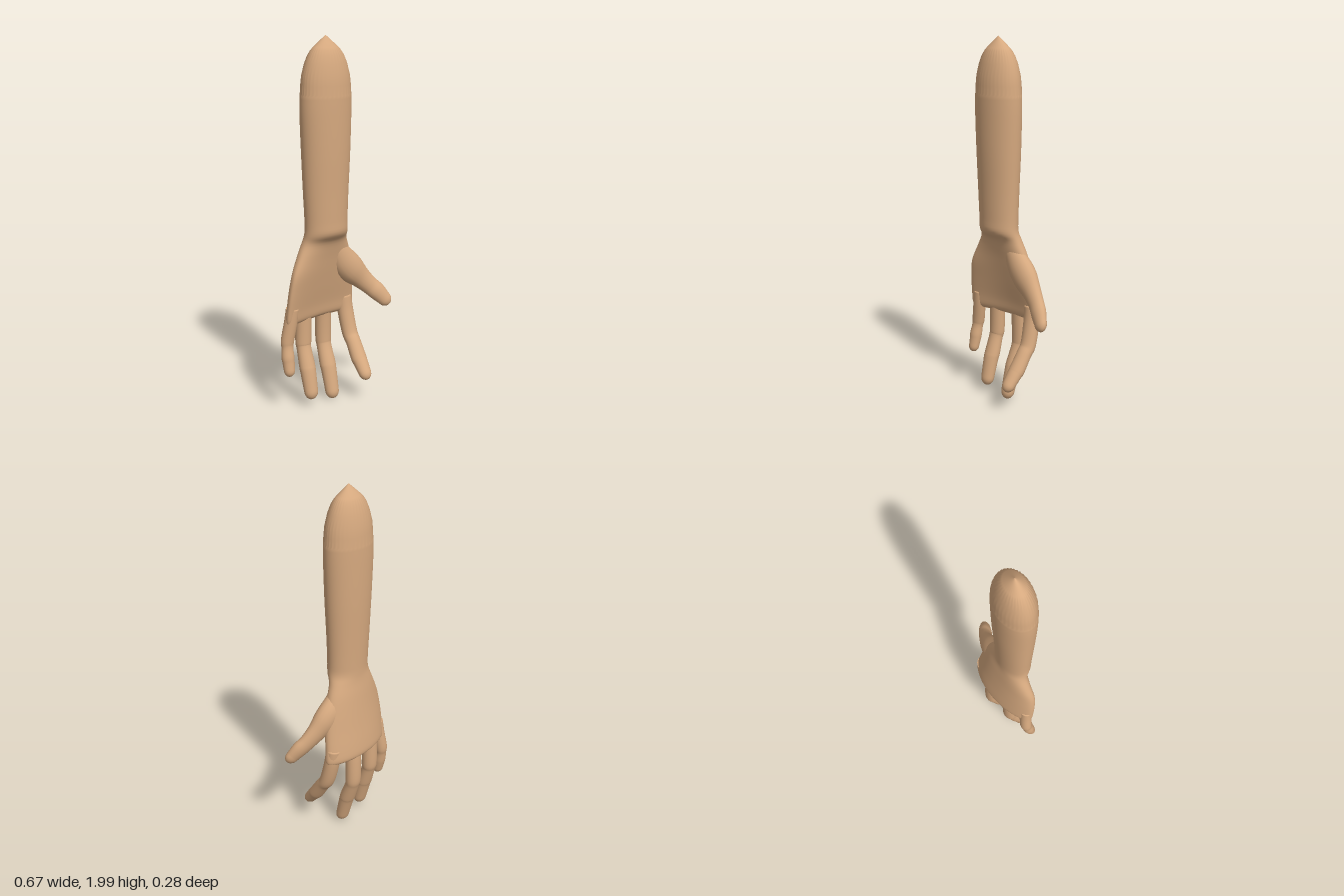
import * as THREE from 'three';

const skin = new THREE.MeshStandardMaterial({ color: 0xd6a97f, roughness: 0.8 });

// Skin a closed surface over rings of points (each ring counterclockwise about the path direction)
function loft(rings, name) {
  const n = rings[0].length, pos = [], idx = [];
  rings.forEach(r => r.forEach(p => pos.push(p.x, p.y, p.z)));
  for (let j = 0; j < rings.length - 1; j++) {
    for (let i = 0; i < n; i++) {
      const a = j * n + i, b = j * n + (i + 1) % n;
      idx.push(a, b, b + n, a, b + n, a + n);
    }
  }
  // End caps
  for (const [j, flip] of [[0, true], [rings.length - 1, false]]) {
    const c = new THREE.Vector3();
    rings[j].forEach(p => c.addScaledVector(p, 1 / n));
    const k = pos.length / 3;
    pos.push(c.x, c.y, c.z);
    for (let i = 0; i < n; i++) {
      const a = j * n + i, b = j * n + (i + 1) % n;
      idx.push(k, flip ? b : a, flip ? a : b);
    }
  }
  const g = new THREE.BufferGeometry();
  g.setAttribute('position', new THREE.Float32BufferAttribute(pos, 3));
  g.setIndex(idx);
  g.computeVertexNormals();
  const mesh = new THREE.Mesh(g, skin);
  mesh.name = name;
  return mesh;
}

// Smooth interpolation through rows of numbers
function smoothRows(rows, steps) {
  const out = [], at = i => rows[Math.min(rows.length - 1, Math.max(0, i))];
  for (let i = 0; i < rows.length - 1; i++) {
    for (let s = 0; s < steps; s++) {
      const t = s / steps;
      out.push(rows[i].map((p1, k) => {
        const p0 = at(i - 1)[k], p2 = at(i + 1)[k], p3 = at(i + 2)[k];
        return p1 + 0.5 * t * (p2 - p0 + t * (2 * p0 - 5 * p1 + 4 * p2 - p3 + t * (3 * (p1 - p2) + p3 - p0)));
      }));
    }
  }
  out.push(rows[rows.length - 1]);
  return out;
}

// Forearm and palm: y, left x, right x, back z, front z, arch, squareness (1 = ellipse)
const upper = [
  [1.7, -0.22, 0.068, -0.09, 0.11, 0, 1],
  [1.6, -0.222, 0.068, -0.09, 0.11, 0, 1],
  [1.4, -0.215, 0.062, -0.087, 0.107, 0, 1],
  [1.2, -0.207, 0.053, -0.08, 0.1, 0, 1],
  [1.05, -0.2, 0.048, -0.075, 0.096, 0, 1],
  [0.98, -0.201, 0.05, -0.074, 0.092, 0, 1],
  [0.93, -0.212, 0.062, -0.078, 0.052, 0.2, 0.92],
  [0.86, -0.245, 0.09, -0.09, 0.03, 0.5, 0.86],
  [0.77, -0.285, 0.118, -0.103, 0.01, 0.7, 0.84],
  [0.67, -0.304, 0.132, -0.117, -0.012, 0.75, 0.82],
  [0.57, -0.312, 0.142, -0.132, -0.035, 0.8, 0.8],
  [0.51, -0.314, 0.148, -0.137, -0.045, 0.8, 0.78],
  [0.488, -0.305, 0.14, -0.125, -0.06, 0.8, 0.78],
  [0.48, -0.28, 0.12, -0.105, -0.08, 0.8, 0.78],
];
// Domed stump, closing in a shallow cone: y, relative radius, pleat depth
const dome = [
  [2, 0.004, 0], [1.97, 0.25, 0], [1.94, 0.49, 0], [1.925, 0.59, 0.03], [1.9, 0.71, 0.06],
  [1.86, 0.83, 0.06], [1.8, 0.94, 0.045], [1.75, 0.98, 0.035], [1.71, 0.995, 0.03],
];

function armAndPalm() {
  const N = 72, rings = [];
  for (const [y, r, pleat] of dome) {
    rings.push(Array.from({ length: N }, (_, i) => {
      const a = i / N * Math.PI * 2, q = r * (i % 2 ? 1 - pleat : 1);
      return new THREE.Vector3(-0.076 + 0.144 * q * Math.cos(a), y, 0.01 + 0.1 * q * Math.sin(a));
    }));
  }
  for (const [y, xl, xr, zb, zf, arch, sq] of smoothRows(upper, 4)) {
    rings.push(Array.from({ length: N }, (_, i) => {
      const a = i / N * Math.PI * 2, c = Math.cos(a), s = Math.sin(a);
      const round = v => Math.sign(v) * Math.abs(v) ** sq;
      const x = (xl + xr) / 2 + (xr - xl) / 2 * round(c);
      const z = (zb + zf) / 2 + (zf - zb) / 2 * round(s);
      return new THREE.Vector3(x, y, z + arch * x * x);
    }));
  }
  return loft(rings, 'forearmAndPalm');
}

// Finger along points [x, y, z, radius], with a rounded tip; side sets the width direction
function finger(name, pts, side, flat) {
  const rows = smoothRows(pts, 6), N = 20, rings = [];
  const P = rows.map(r => new THREE.Vector3(r[0], r[1], r[2]));
  const ring = (c, T, r) => {
    const u = side.clone().addScaledVector(T, -side.dot(T)).normalize();
    const v = T.clone().cross(u);
    rings.push(Array.from({ length: N }, (_, i) => {
      const a = i / N * Math.PI * 2;
      return c.clone().addScaledVector(u, r * Math.cos(a)).addScaledVector(v, r * flat * Math.sin(a));
    }));
  };
  let T;
  P.forEach((p, i) => {
    T = P[Math.min(i + 1, P.length - 1)].clone().sub(P[Math.max(i - 1, 0)]).normalize();
    ring(p, T, rows[i][3]);
  });
  const end = P[P.length - 1], r = rows[rows.length - 1][3];
  for (let k = 1; k <= 6; k++) {
    const a = k / 6.3 * Math.PI / 2;
    ring(end.clone().addScaledVector(T, r * 1.15 * Math.sin(a)), T, r * Math.cos(a));
  }
  return loft(rings, name);
}

export function createModel() {
  const g = new THREE.Group();
  g.name = 'forearmWithHand';
  g.add(armAndPalm());

  const X = new THREE.Vector3(1, 0, 0);
  g.add(finger('indexFinger', [
    [0.095, 0.57, -0.075, 0.045], [0.102, 0.48, -0.065, 0.046], [0.11, 0.36, -0.035, 0.045],
    [0.112, 0.31, 0.0, 0.043], [0.112, 0.235, 0.05, 0.045], [0.112, 0.21, 0.072, 0.042],
    [0.112, 0.165, 0.109, 0.037],
  ], X, 0.88));
  g.add(finger('middleFinger', [
    [-0.03, 0.57, -0.085, 0.045], [-0.028, 0.48, -0.095, 0.046], [-0.026, 0.34, -0.098, 0.046],
    [-0.026, 0.29, -0.088, 0.043], [-0.026, 0.2, -0.055, 0.047], [-0.026, 0.165, -0.042, 0.045],
    [-0.026, 0.05, -0.01, 0.04],
  ], X, 0.85));
  g.add(finger('ringFinger', [
    [-0.17, 0.57, -0.065, 0.045], [-0.174, 0.48, -0.067, 0.046], [-0.177, 0.36, -0.066, 0.046],
    [-0.178, 0.32, -0.058, 0.042], [-0.177, 0.23, -0.03, 0.046], [-0.177, 0.195, -0.018, 0.045],
    [-0.176, 0.09, 0.008, 0.04],
  ], X, 0.85));
  g.add(finger('littleFinger', [
    [-0.272, 0.58, -0.02, 0.036], [-0.281, 0.5, -0.025, 0.037], [-0.298, 0.4, -0.032, 0.037],
    [-0.302, 0.36, -0.028, 0.033], [-0.305, 0.31, -0.018, 0.036], [-0.305, 0.28, -0.012, 0.034],
    [-0.306, 0.24, -0.003, 0.031],
  ], X, 0.9));
  g.add(finger('thumb', [
    [-0.01, 0.9, -0.01, 0.045], [0.05, 0.8, -0.02, 0.075], [0.105, 0.735, -0.018, 0.078],
    [0.165, 0.675, -0.008, 0.06], [0.215, 0.625, 0.008, 0.051], [0.25, 0.59, 0.026, 0.05],
    [0.285, 0.548, 0.046, 0.041],
  ], new THREE.Vector3(1, 1, 0).normalize(), 0.72));

  return g;
}
